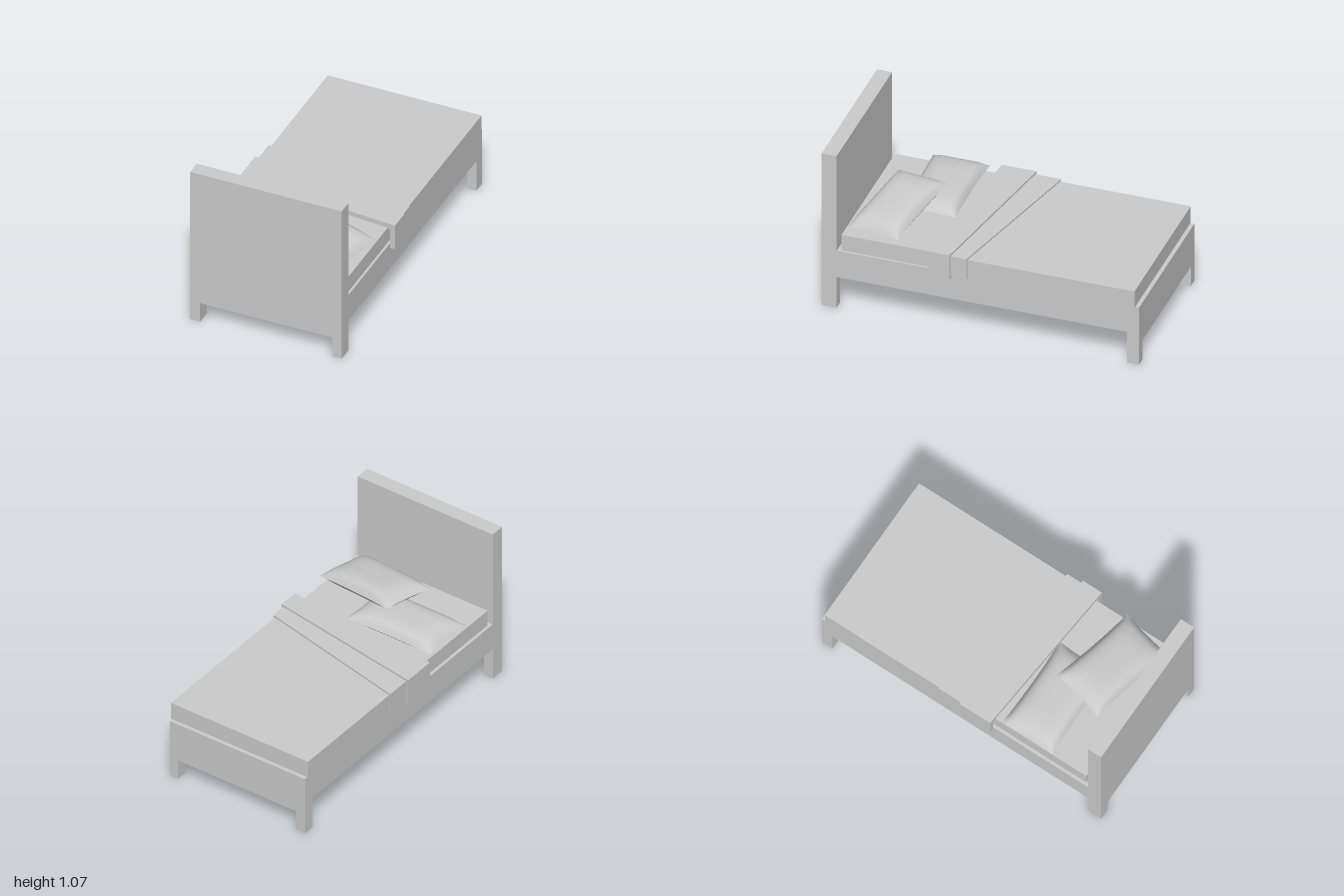
import * as THREE from 'three';
import { mergeGeometries } from 'three/addons/utils/BufferGeometryUtils.js';

const flat = new THREE.MeshStandardMaterial({ color: 0xcccccc, flatShading: true, side: THREE.DoubleSide });
const soft = new THREE.MeshStandardMaterial({ color: 0xcccccc, side: THREE.DoubleSide });

export function createModel() {
  const model = new THREE.Group();
  const add = (name, geometry, material = flat, parent = model) => {
    const mesh = new THREE.Mesh(geometry, material);
    mesh.name = name;
    parent.add(mesh);
    return mesh;
  };
  // Box given by its limits on each axis
  const box = (name, x0, x1, y0, y1, z0, z1, parent) => {
    const g = new THREE.BoxGeometry(x1 - x0, y1 - y0, z1 - z0);
    g.translate((x0 + x1) / 2, (y0 + y1) / 2, (z0 + z1) / 2);
    return add(name, g, flat, parent);
  };
  // Upright prism over a plan outline of [x, z] corners
  const prism = (name, corners, y0, y1, parent) => {
    const shape = new THREE.Shape(corners.map(([x, z]) => new THREE.Vector2(x, -z)));
    const g = new THREE.ExtrudeGeometry(shape, { depth: y1 - y0, bevelEnabled: false });
    g.rotateX(-Math.PI / 2);
    g.translate(0, y0, 0);
    return add(name, g, flat, parent);
  };

  // Frame: thin panels, hollow underneath
  const L = -0.5, R = 0.49, T = 0.008, HEAD = 0.905;
  const frame = new THREE.Group();
  frame.name = 'frame';
  model.add(frame);
  box('leftRail', R - T, R, 0.215, 0.4, -1, 1, frame);
  box('rightRail', L, L + T, 0.215, 0.4, -1, 1, frame);
  box('footPanel', L, R, 0.135, 0.4, -1, -1 + T, frame);
  box('deck', L, R, 0.385, 0.4, -1, HEAD, frame);
  box('headboardFace', L, R, 0.135, 0.4, 1 - T, 1, frame);
  box('headboard', L, R, 0.4, 1.065, HEAD, 1, frame);

  // Legs: square tubes, open at the floor
  for (const [x0, x1] of [[L, -0.435], [0.43, R]]) {
    for (const [z0, z1] of [[-1, -0.925], [HEAD, 1]]) {
      const g = new THREE.CylinderGeometry(Math.SQRT1_2, Math.SQRT1_2, 1, 4, 1, true);
      g.rotateY(Math.PI / 4);
      g.scale(x1 - x0, 0.22, z1 - z0);
      g.translate((x0 + x1) / 2, 0.11, (z0 + z1) / 2);
      add('leg', g, flat, frame);
    }
  }

  // Bedding
  box('mattress', -0.48, 0.475, 0.38, 0.508, -0.965, 0.88);
  prism('duvet', [[-0.505, -0.975], [0.5, -0.975], [0.5, 0.12], [-0.505, -0.1]], 0.396, 0.515);

  // Folded bands: slanted top plus a flap hanging down each side
  const band = (name, xr, xl, right, left, top, bottom) => {
    const group = new THREE.Group();
    group.name = name;
    model.add(group);
    const edge = (k, x) => {
      const t = (x - xr) / (xl - xr);
      return right[k] + (left[k] - right[k]) * t;
    };
    const strip = (part, x0, x1, y0) => prism(part,
      [[x0, edge(0, x0)], [x1, edge(0, x1)], [x1, edge(1, x1)], [x0, edge(1, x0)]], y0, top, group);
    strip('bandTop', xr, xl, 0.5);
    strip('rightFlap', xr, -0.502, bottom);
    strip('leftFlap', 0.492, xl, bottom);
  };
  band('sheetFold', -0.515, 0.512, [-0.155, 0.03], [0.08, 0.2], 0.527, 0.386);
  band('blanketFold', -0.53, 0.525, [0.005, 0.225], [0.182, 0.315], 0.54, 0.368);

  // Pillows: two bulged skins meeting in a seam with pinched corners
  const pillow = (name, width, depth, up, down) => {
    const skin = (height) => {
      const g = new THREE.PlaneGeometry(2, 2, 24, 20);
      g.rotateX(-Math.PI / 2);
      const p = g.attributes.position;
      for (let i = 0; i < p.count; i++) {
        const u = p.getX(i), v = p.getZ(i);
        const bulge = Math.pow((1 - u ** 4) * (1 - v ** 4), 0.6);
        p.setXYZ(i,
          u * (1 - 0.035 * (1 - v * v)) * width / 2,
          height * bulge,
          v * (1 - 0.05 * (1 - u * u)) * depth / 2);
      }
      return g;
    };
    const under = skin(down);
    under.rotateX(Math.PI);
    const g = mergeGeometries([skin(up), under]);
    g.computeVertexNormals();
    return add(name, g, soft);
  };
  pillow('lowerPillow', 0.62, 0.36, 0.062, 0.035).position.set(-0.182, 0.547, 0.463);
  const upper = pillow('upperPillow', 0.6, 0.35, 0.062, 0.045);
  upper.position.set(0.166, 0.588, 0.633);
  upper.rotation.set(0.06, -0.21, -0.13, 'YXZ');

  return model;
}
